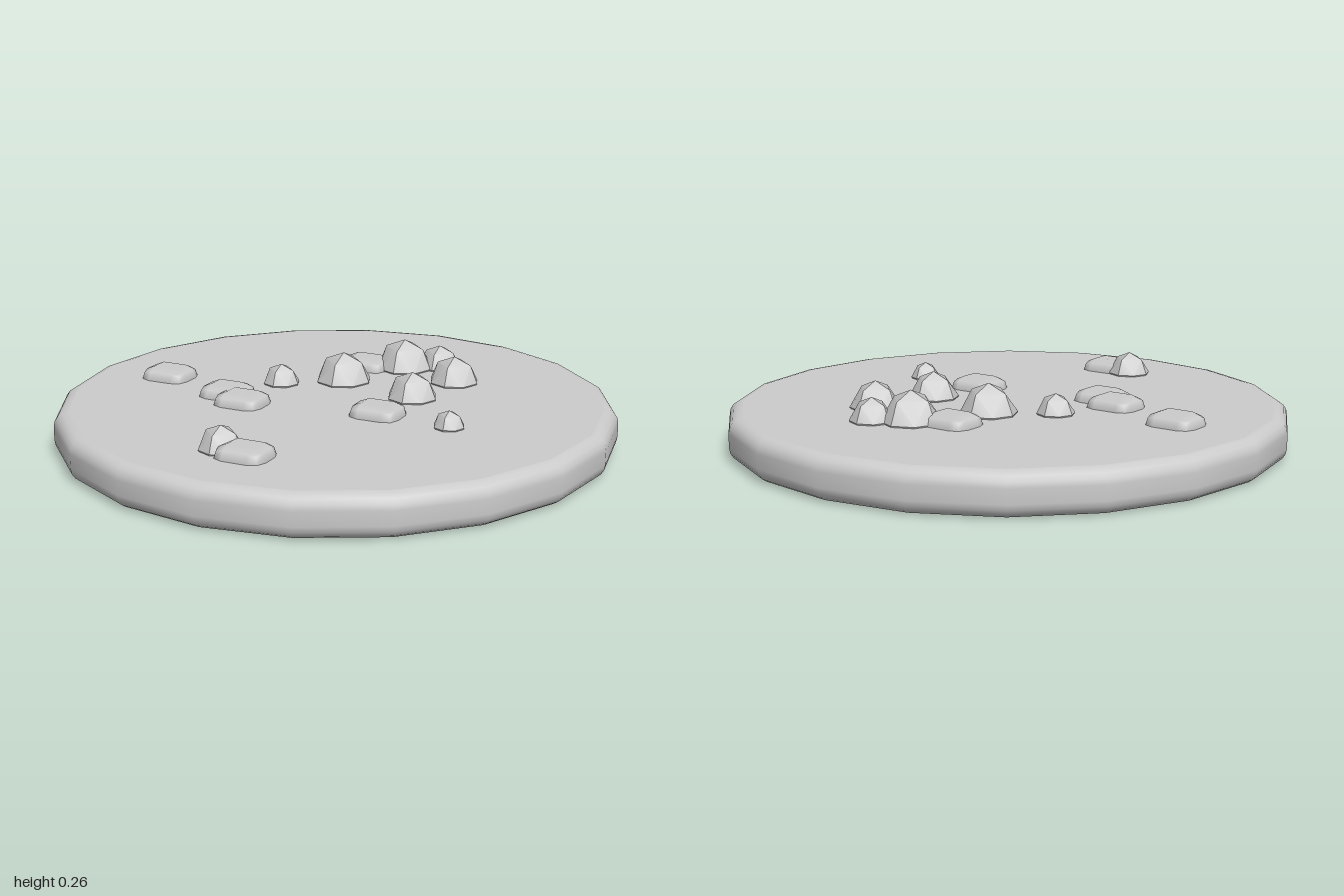
import * as THREE from 'three';
import { toCreasedNormals } from 'three/addons/utils/BufferGeometryUtils.js';
import { RoundedBoxGeometry } from 'three/addons/geometries/RoundedBoxGeometry.js';

const SIDES = 20, HEIGHT = 0.15, BEVEL = 0.05;

export function createModel() {
  const model = new THREE.Group();
  model.name = 'rockyDisc';
  const material = new THREE.MeshStandardMaterial({ color: 0xcccccc });

  const add = (name, geometry, x = 0, y = 0, z = 0, parent = model) => {
    const mesh = new THREE.Mesh(geometry, material);
    mesh.name = name;
    mesh.position.set(x, y, z);
    parent.add(mesh);
    return mesh;
  };

  // Round base: rounded rim with a flat cap above and below
  const base = new THREE.Group();
  base.name = 'base';
  model.add(base);
  const profile = [];
  for (const [cy, start] of [[BEVEL, -Math.PI / 2], [HEIGHT - BEVEL, 0]]) {
    for (let i = 0; i <= 4; i++) {
      const a = start + (i / 4) * (Math.PI / 2);
      profile.push(new THREE.Vector2(1 - BEVEL + BEVEL * Math.cos(a), cy + BEVEL * Math.sin(a)));
    }
  }
  add('rim', new THREE.LatheGeometry(profile, SIDES), 0, 0, 0, base);
  const cap = new THREE.CircleGeometry(1 - BEVEL, SIDES);
  add('topFace', cap, 0, HEIGHT, 0, base).rotation.x = -Math.PI / 2;
  add('bottomFace', cap, 0, 0, 0, base).rotation.x = Math.PI / 2;

  // Faceted boulders, half sunk into the top: x, z, radius
  const boulders = [
    [0.065, -0.465, 0.106], [0.18, -0.535, 0.078], [0.305, -0.37, 0.092], [-0.07, -0.21, 0.103],
    [0.245, -0.12, 0.091], [-0.262, -0.08, 0.068], [0.49, 0.135, 0.055], [-0.093, 0.665, 0.078],
  ];
  const boulder = toCreasedNormals(new THREE.OctahedronGeometry(1, 1), Math.PI / 6);
  for (const [x, z, r] of boulders) add('boulder', boulder, x, 0.155, z).scale.setScalar(r);

  // Low bevelled slabs, all one size: x, z
  const slabs = [
    [-0.675, 0.03], [-0.37, 0.135], [-0.273, 0.2], [0.213, 0.11], [-0.072, -0.415], [0.01, 0.69],
  ];
  const slab = new RoundedBoxGeometry(0.19, 0.1, 0.162, 1, 0.05);
  for (const [x, z] of slabs) add('slab', slab, x, 0.145, z);

  return model;
}
